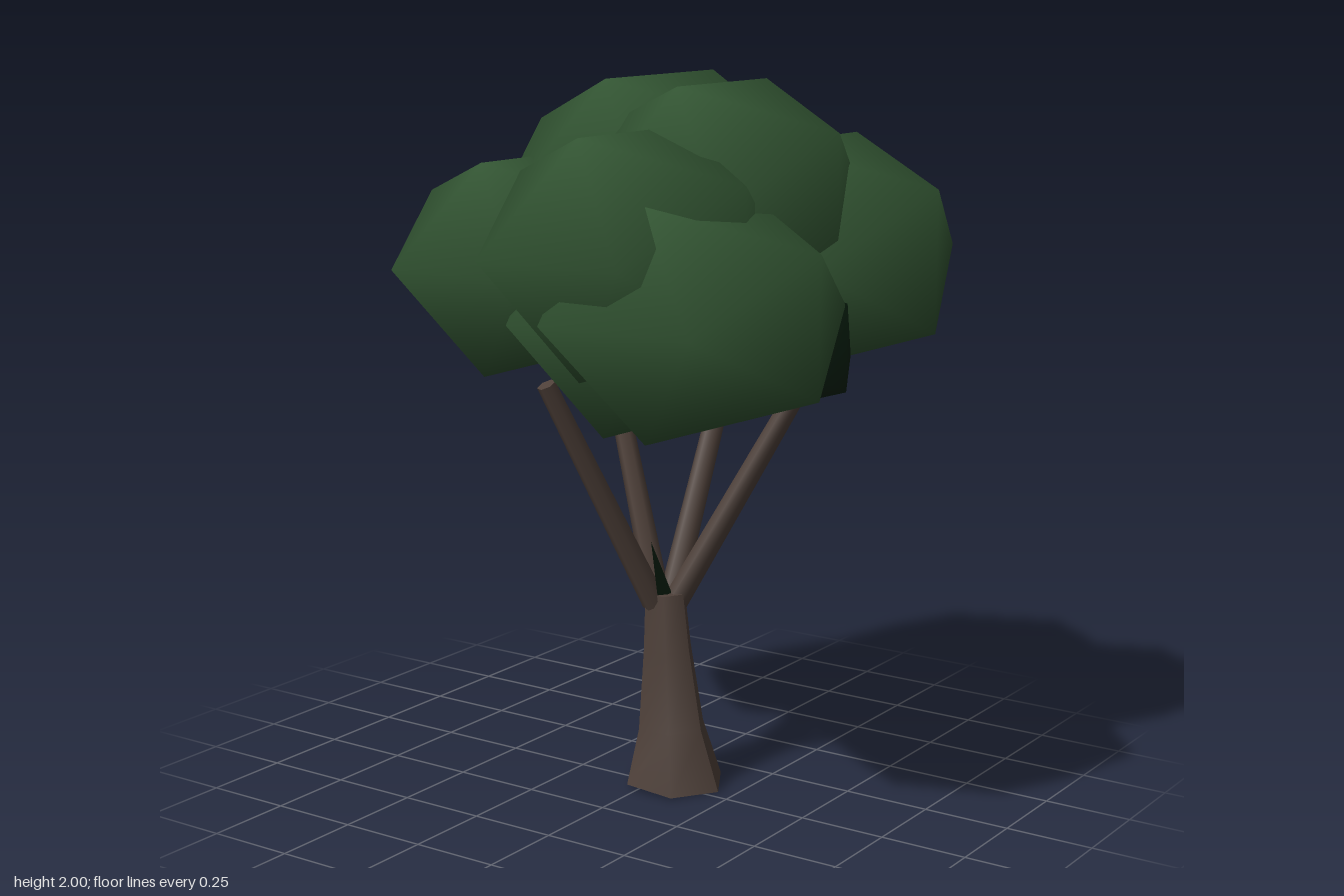
import * as THREE from 'three';

const material = (name, color) => {
  const m = new THREE.MeshStandardMaterial({ color });
  m.name = name;
  return m;
};

// Smooth-shaded icosahedron whose half extent is 1 along each axis
function clumpGeometry() {
  const g = new THREE.IcosahedronGeometry(1.17557, 0).rotateY(Math.PI / 2);
  const p = g.attributes.position, n = g.attributes.normal;
  const v = new THREE.Vector3();
  for (let i = 0; i < p.count; i++) {
    v.fromBufferAttribute(p, i).normalize();
    n.setXYZ(i, v.x, v.y, v.z);
  }
  return g;
}

// Six-sided trunk: each ring is [y, centre x, centre z, radius]
function trunkGeometry() {
  const rings = [[0.56, 0.01, -0.045, 0.062], [0.4, 0.018, -0.045, 0.074],
    [0.17, 0.035, -0.04, 0.102], [0.01, 0.05, -0.035, 0.15]];
  const g = new THREE.CylinderGeometry(1, 1, 3, 6, 3, false, Math.PI / 2);
  const p = g.attributes.position;
  for (let i = 0; i < p.count; i++) {
    const [y, cx, cz, r] = rings[Math.round(1.5 - p.getY(i))];
    const tilt = y < 0.1 ? -p.getX(i) * 0.01 : 0;
    p.setXYZ(i, cx + p.getX(i) * r, y + tilt, cz + p.getZ(i) * r);
  }
  g.computeVertexNormals();
  return g;
}

// Tapered limb between two points
function limb(name, from, to, r0, r1, mat) {
  const a = new THREE.Vector3(...from), b = new THREE.Vector3(...to);
  const dir = b.clone().sub(a);
  const mesh = new THREE.Mesh(new THREE.CylinderGeometry(r1, r0, dir.length(), 6), mat);
  mesh.position.copy(a).add(b).multiplyScalar(0.5);
  mesh.quaternion.setFromUnitVectors(new THREE.Vector3(0, 1, 0), dir.normalize());
  mesh.name = name;
  return mesh;
}

export function createModel() {
  const tree = new THREE.Group();
  tree.name = 'tree';
  const bark = material('bark brown', 0x4e4039);
  const leaf = material('leaf green', 0x315331);
  const shade = material('deep leaf green', 0x06200e);

  const trunk = new THREE.Mesh(trunkGeometry(), bark);
  trunk.name = 'trunk';
  tree.add(trunk);

  // Branches fanning from the trunk top
  const branches = [
    ['leftBranch', [0.035, 0.53, -0.06], [0.36, 1.21, -0.25]],
    ['rightBranch', [-0.025, 0.53, -0.06], [-0.25, 1.14, -0.16]],
    ['frontBranch', [-0.005, 0.53, -0.015], [-0.16, 1.19, 0.28]],
    ['backBranch', [0.01, 0.53, -0.075], [0, 1.24, -0.42]],
  ];
  for (const [name, from, to] of branches) tree.add(limb(name, from, to, 0.036, 0.027, bark));

  // Small dark leaf at the base of the front branch
  const sprig = new THREE.BufferGeometry().setFromPoints([
    new THREE.Vector3(0.035, 0.57, 0.03),
    new THREE.Vector3(0.035, 0.555, -0.045),
    new THREE.Vector3(0.01, 0.72, 0.025),
  ]);
  sprig.computeVertexNormals();
  const sprigMaterial = shade;
  sprigMaterial.side = THREE.DoubleSide;
  const sprigMesh = new THREE.Mesh(sprig, sprigMaterial);
  sprigMesh.name = 'baseLeaf';
  tree.add(sprigMesh);

  // Canopy clumps: name, centre, half extents
  const clumps = [
    ['rightClump', [-0.37, 1.485, 0.075], [0.35, 0.295, 0.34]],
    ['frontLeftClump', [0.345, 1.43, 0.31], [0.37, 0.3, 0.37]],
    ['backLeftClump', [0.325, 1.525, -0.31], [0.385, 0.315, 0.375]],
    ['topClump', [0.205, 1.69, -0.03], [0.36, 0.31, 0.355]],
    ['backRightClump', [-0.145, 1.63, -0.25], [0.425, 0.37, 0.435]],
    ['frontClump', [0.15, 1.58, 0.325], [0.355, 0.31, 0.365]],
    ['lowerClump', [0.02, 1.365, 0.05], [0.36, 0.305, 0.35]],
    ['innerClump', [0.13, 1.4, -0.06], [0.45, 0.33, 0.36]],
  ];
  const geometry = clumpGeometry();
  const canopy = new THREE.Group();
  canopy.name = 'canopy';
  for (const [name, centre, half] of clumps) {
    const mesh = new THREE.Mesh(geometry, name === 'innerClump' ? shade : leaf);
    mesh.name = name;
    mesh.position.set(...centre);
    mesh.scale.set(...half);
    canopy.add(mesh);
  }
  tree.add(canopy);
  return tree;
}
